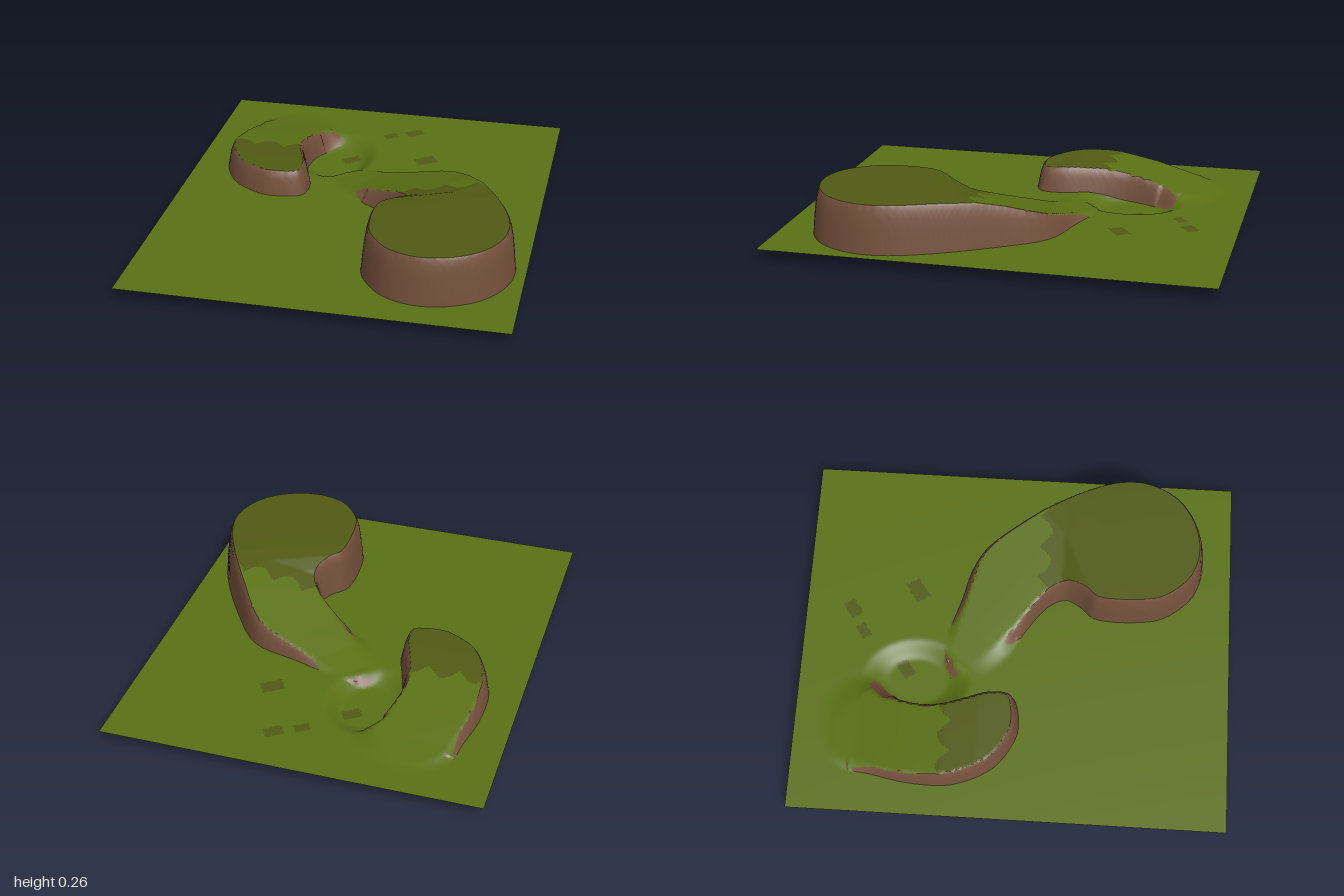
import * as THREE from 'three';
import { mergeVertices } from 'three/addons/utils/BufferGeometryUtils.js';

const GROUND = 0.05, STEP = 0.01, HALF_X = 0.85, HALF_Z = 1;
const { clamp, smoothstep, lerp } = THREE.MathUtils;

// Piecewise linear ramp through [input, output] pairs
function ramp(table, v) {
  for (let i = 1; i < table.length; i++) {
    const [a, ha] = table[i - 1], [b, hb] = table[i];
    if (v < b) return lerp(ha, hb, clamp((v - a) / (b - a), 0, 1));
  }
  return table[table.length - 1][1];
}

// Foot outline of a hill: [x, z, width of the bank], smoothed to a closed loop
function outline(points) {
  const curve = new THREE.CatmullRomCurve3(
    points.map(([x, z, w = 0.035]) => new THREE.Vector3(x, w, z)), true);
  return curve.getPoints(110);
}

const BIG_RISE = [[-0.24, 0], [-0.1, 0.025], [0.05, 0.07], [0.2, 0.117],
  [0.375, 0.172], [0.5, 0.202], [0.65, 0.211], [0.8, 0.213]];
const SMALL_RISE = [[-0.92, 0], [-0.84, 0.004], [-0.7, 0.027], [-0.5, 0.07],
  [-0.3, 0.106], [-0.15, 0.118], [0, 0.115]];

const hills = [
  { // large plateau whose ramp runs to the back and right
    foot: outline([[0.8, 0.55], [0.765, 0.67], [0.69, 0.77], [0.56, 0.845], [0.42, 0.865],
      [0.28, 0.82], [0.18, 0.71], [0.145, 0.62], [0.145, 0.36], [0.2, 0.29], [0.23, 0.22],
      [0.19, 0.14], [0.06, 0.04, 0.05], [-0.1, -0.05, 0.1], [-0.22, -0.2, 0.1],
      [-0.15, -0.32, 0.07], [0, -0.325, 0.045], [0.2, -0.27], [0.42, -0.2], [0.58, 0],
      [0.72, 0.24], [0.79, 0.42]]),
    rise: (x, z) => ramp(BIG_RISE, 0.75 * x + 0.66 * z + Math.max(0, z - 0.2)),
    isTop: (x, z) => z > 0.08 + 0.06 * Math.abs(Math.sin(x * 22)) && x > 0.1,
  },
  { // small curved hill whose ramp runs to the back
    foot: outline([[-0.27, 0], [-0.255, -0.1], [-0.29, -0.22], [-0.32, -0.32], [-0.325, -0.42],
      [-0.31, -0.5], [-0.27, -0.57, 0.07], [-0.21, -0.64, 0.1], [-0.2, -0.73, 0.14],
      [-0.26, -0.85, 0.14], [-0.45, -0.92, 0.1], [-0.63, -0.82, 0.08], [-0.675, -0.62],
      [-0.705, -0.45], [-0.7, -0.25], [-0.62, -0.08], [-0.52, 0], [-0.42, 0.035]]),
    rise: (x, z) => ramp(SMALL_RISE, z),
    isTop: (x, z) => z > -0.27 - 0.06 * Math.abs(Math.sin(x * 22)) && x < -0.2,
  },
];

// Signed distance to an outline (positive inside), nearest point and bank width
function nearest(foot, x, z) {
  let best = Infinity, inside = false, nx = 0, nz = 0, width = 0;
  for (let i = 0, j = foot.length - 2; i < foot.length - 1; j = i++) {
    const a = foot[j], b = foot[i], dx = b.x - a.x, dz = b.z - a.z;
    const t = clamp(((x - a.x) * dx + (z - a.z) * dz) / (dx * dx + dz * dz), 0, 1);
    const px = a.x + t * dx, pz = a.z + t * dz, d = (x - px) ** 2 + (z - pz) ** 2;
    if (d < best) { best = d; nx = px; nz = pz; width = lerp(a.y, b.y, t); }
    if ((a.z > z) !== (b.z > z) && x < a.x + ((z - a.z) / dz) * dx) inside = !inside;
  }
  const distance = Math.sqrt(best) * (inside ? 1 : -1);
  return { distance, nx, nz, width: Math.max(width, 0.03) };
}

// Slide a grid point onto a hill's foot or rim so that the edges stay clean
function snap(x, z) {
  for (const { foot } of hills) {
    const n = nearest(foot, x, z);
    for (const level of [0, n.width]) {
      if (Math.abs(n.distance - level) < STEP * 0.5 && Math.abs(n.distance) > 1e-4) {
        const k = level / n.distance;
        return [n.nx + (x - n.nx) * k, n.nz + (z - n.nz) * k];
      }
    }
  }
  return [x, z];
}

function height(x, z) {
  let up = 0, cover = 0;
  for (const { foot, rise } of hills) {
    const n = nearest(foot, x, z), t = clamp(n.distance / n.width, 0, 1);
    const bank = n.width > 0.06 ? smoothstep(t, 0, 1) : 1 - (1 - t) ** 2;
    up = Math.max(up, rise(x, z) * bank);
    cover = Math.max(cover, bank);
  }
  // Hollow between the two ramps
  const r = Math.hypot((x + 0.2) / 0.2, (z + 0.45) / 0.26);
  const hollow = 0.05 * (1 - smoothstep(r, 0.5, 1)) * (1 - cover);
  return GROUND + up - hollow;
}

// Small dark tufts: [x, z, radius]
const TUFTS = [[0.13, -0.78, 0.05], [0.02, -0.72, 0.04], [-0.14, -0.51, 0.05], [0.24, -0.48, 0.06]];

function isDark(x, y, z) {
  return TUFTS.some(([tx, tz, r]) => Math.abs(x - tx + 0.4 * (z - tz)) + Math.abs(z - tz) < r)
    || (y > GROUND + 0.08 && hills.some((h) => h.isTop(x, z)));
}

export function createModel() {
  const group = new THREE.Group();
  group.name = 'terrain';

  // Shared grid of points
  const nx = Math.round(2 * HALF_X / STEP), nz = Math.round(2 * HALF_Z / STEP);
  const points = [];
  for (let j = 0; j <= nz; j++) {
    for (let i = 0; i <= nx; i++) {
      const [x, z] = snap(-HALF_X + i * STEP, -HALF_Z + j * STEP);
      points.push(new THREE.Vector3(x, height(x, z), z));
    }
  }

  // Sort the triangles into grass, dark grass and rock by steepness and place
  const parts = { grass: [], darkGrass: [], cliffs: [] };
  const normal = new THREE.Vector3(), centre = new THREE.Vector3();
  const addFace = (a, b, c) => {
    new THREE.Triangle(a, b, c).getNormal(normal);
    centre.copy(a).add(b).add(c).divideScalar(3);
    const part = normal.y < 0.77 ? 'cliffs'
      : isDark(centre.x, centre.y, centre.z) ? 'darkGrass' : 'grass';
    parts[part].push(a, b, c);
  };
  for (let j = 0; j < nz; j++) {
    for (let i = 0; i < nx; i++) {
      const k = j * (nx + 1) + i;
      const a = points[k], b = points[k + 1], c = points[k + nx + 1], d = points[k + nx + 2];
      // Split each cell along its flatter diagonal
      if (Math.abs(a.y - d.y) < Math.abs(b.y - c.y)) {
        addFace(a, c, d);
        addFace(a, d, b);
      } else {
        addFace(a, c, b);
        addFace(b, c, d);
      }
    }
  }

  const colors = { grass: 0x5a7014, darkGrass: 0x505a13, cliffs: 0x74503c };
  for (const name in parts) {
    const geometry = mergeVertices(new THREE.BufferGeometry().setFromPoints(parts[name]), 1e-5);
    geometry.computeVertexNormals();
    const material = new THREE.MeshStandardMaterial({ color: colors[name], side: THREE.DoubleSide });
    const mesh = new THREE.Mesh(geometry, material);
    mesh.name = name;
    group.add(mesh);
  }
  return group;
}
